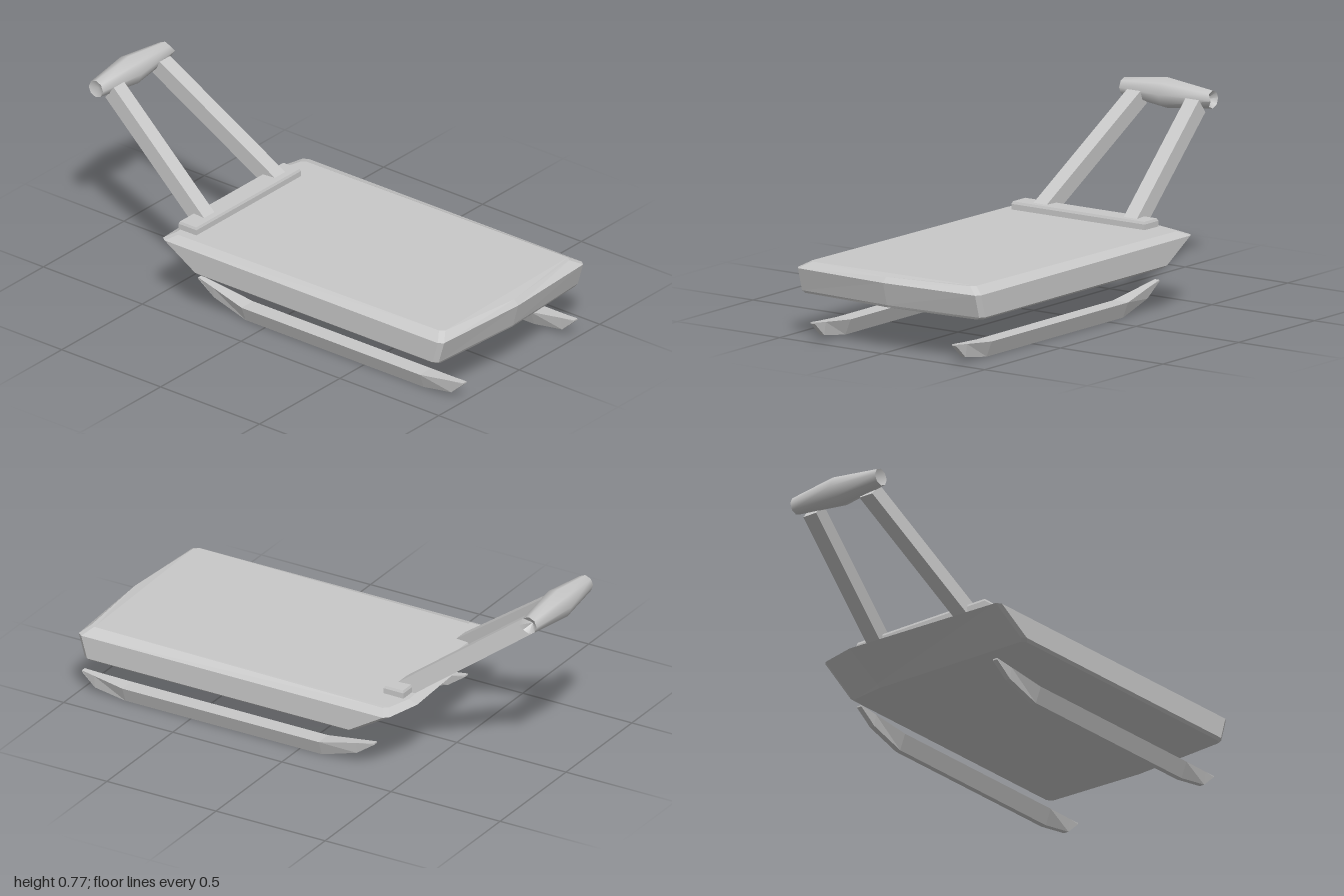
import * as THREE from 'three';
import { toCreasedNormals } from 'three/addons/utils/BufferGeometryUtils.js';

// Flat-shaded solid through rings of points, counter-clockwise seen from the last ring
function loft(rings) {
  const pos = [];
  const tri = (a, b, c) => pos.push(...a, ...b, ...c);
  const n = rings[0].length;
  for (let r = 0; r < rings.length - 1; r++) {
    const a = rings[r], b = rings[r + 1];
    for (let i = 0; i < n; i++) {
      const j = (i + 1) % n;
      tri(a[i], a[j], b[j]);
      tri(a[i], b[j], b[i]);
    }
  }
  const first = rings[0], last = rings[rings.length - 1];
  for (let i = 1; i < n - 1; i++) {
    tri(first[0], first[i + 1], first[i]);
    tri(last[0], last[i], last[i + 1]);
  }
  const geo = new THREE.BufferGeometry();
  geo.setAttribute('position', new THREE.Float32BufferAttribute(pos, 3));
  geo.computeVertexNormals();
  return geo;
}

export function createModel() {
  const group = new THREE.Group();
  const grey = new THREE.MeshStandardMaterial({ color: 0xc8c8c8 });
  grey.name = 'light grey';
  const add = (name, geo) => {
    const mesh = new THREE.Mesh(geo, grey);
    mesh.name = name;
    group.add(mesh);
    return mesh;
  };

  // Deck: bowed front, skewed undercut back, clipped corners and bevelled top
  const deckRing = (w, back, peak, front, nose, yBack, yFront, yNose) => [
    [w, yFront, front - 0.02], [w, yBack, back + 0.02],
    [w - 0.015, yBack, back], [0.28, yBack, peak], [-w + 0.015, yBack, back],
    [-w, yBack, back + 0.02], [-w, yFront, front - 0.02],
    [-w + 0.015, yFront, front], [0, yNose, nose], [w - 0.015, yFront, front],
  ];
  add('deck', loft([
    deckRing(0.435, -0.28, -0.3, 0.94, 0.965, 0.18, 0.18, 0.18),
    deckRing(0.447, -0.295, -0.315, 0.945, 0.97, 0.19, 0.19, 0.19),
    deckRing(0.447, -0.45, -0.487, 0.972, 0.995, 0.283, 0.283, 0.283),
    deckRing(0.4, -0.42, -0.45, 0.94, 0.975, 0.299, 0.31, 0.304),
  ]));

  // Mounting bar across the back of the deck
  const barRing = (y, d) => [
    [0.29 - d, y, -0.34 - d], [0.29 - d, y, -0.43 + d],
    [-0.36 + d, y, -0.43 + d], [-0.36 + d, y, -0.34 - d],
  ];
  add('mountingBar', loft([barRing(0.29, 0), barRing(0.322, 0), barRing(0.332, 0.004)]));

  // Slanted struts, leaning in towards the handle
  const strutRing = (x, y, z) => [
    [x + 0.0325, y, z], [x + 0.0325, y - 0.055, z - 0.043],
    [x - 0.0325, y - 0.055, z - 0.043], [x - 0.0325, y, z],
  ];
  for (const [name, low, high] of [['rightStrut', -0.243, -0.168], ['leftStrut', 0.198, 0.117]]) {
    add(name, loft([strutRing(low, 0.33, -0.368), strutRing(high, 0.708, -0.888)]));
  }

  // Handle: eight-sided double taper with hollowed ends
  const profile = [[0, -0.235], [0.036, -0.25], [0.062, -0.042], [0.036, 0.18], [0, 0.15]]
    .map(([r, x]) => new THREE.Vector2(r, x));
  const grip = new THREE.LatheGeometry(profile, 8);
  grip.rotateZ(-Math.PI / 2);
  const p = grip.attributes.position;
  for (let i = 0; i < p.count; i++) {
    // The left rim bulges outward at the front
    if (p.getX(i) > 0.17 && p.getZ(i) > 0.03) p.setX(i, 0.197);
  }
  add('handle', toCreasedNormals(grip, 0.9)).position.set(0, 0.706, -0.938);

  // Runners: z, bottom y, top y, half width of the top
  const stations = [
    [-0.34, 0.106, 0.11, 0.011], [-0.26, 0.05, 0.095, 0.019],
    [-0.1, 0.002, 0.064, 0.036], [0.8, 0.002, 0.064, 0.036],
    [0.94, 0.024, 0.076, 0.018], [1, 0.078, 0.082, 0.011],
  ];
  for (const [name, x] of [['rightRunner', -0.338], ['leftRunner', 0.351]]) {
    add(name, loft(stations.map(([z, lo, hi, w]) => [
      [x - 0.011, lo - 0.002, z], [x + 0.011, lo - 0.002, z], [x + w, hi, z], [x - w, hi, z],
    ])));
  }
  return group;
}
